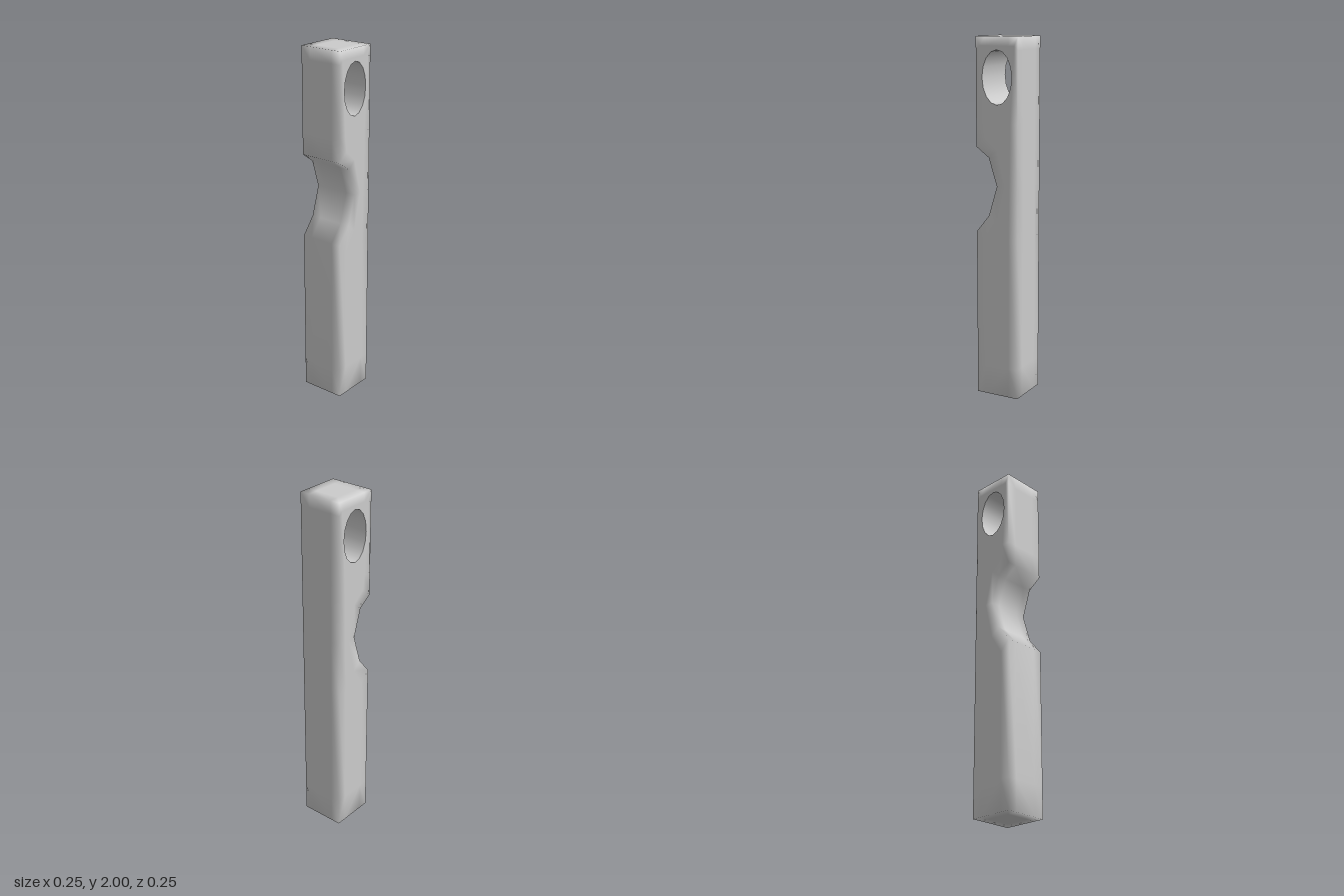
import * as THREE from 'three';
import { mergeVertices } from 'three/addons/utils/BufferGeometryUtils.js';

const W = 0.127; // half width of the square bar
const HOLE = { y: 1.785, ry: 0.145, rz: 0.09, sides: 16 };

// Side profile [u, y] with u = -z, each paired with its inset support point [iu, iy]
const PROFILE = [
  [-W, 0, -0.07, 0.17], [-0.07, 0, -0.07, 0.17], [0.07, 0, 0.07, 0.17], [W, 0, 0.07, 0.17],
  [W, 0.17, 0.07, 0.17], [W, 0.9, 0.07, 0.9], [W, 1.2, 0.075, 1.2], [W, 1.54, 0.08, 1.54],
  [W, 1.93, 0.105, 1.95], [W, 2, 0.105, 1.95], [0.07, 2, 0.07, 1.95],
  [-0.07, 2, -0.07, 1.95], [-W, 2, -0.105, 1.95], [-W, 1.93, -0.105, 1.95],
  [-W, 1.54, -0.08, 1.54], [-W, 1.41, -0.07, 1.46], // shoulder above the notch
  [-0.05, 1.355, 0, 1.4], [0, 1.2, 0.05, 1.2], [-0.05, 1.035, 0, 0.99],
  [-W, 0.94, -0.07, 0.88], [-W, 0.17, -0.07, 0.17],
];

// Bar: side walls, edge bands and pierced side panels welded for soft shading
function barGeometry() {
  const pos = [];
  const tri = (a, b, c) => pos.push(...a, ...b, ...c);
  const quad = (a, b, c, d) => { tri(a, b, c); tri(a, c, d); };
  const at = (x, u, y) => [x, y, -u];
  const n = PROFILE.length;
  const rows = [-W, -0.07, 0.07, W];

  for (let i = 0; i < n; i++) {
    const [u, y, iu, iy] = PROFILE[i];
    const [v, z, iv, iz] = PROFILE[(i + 1) % n];
    for (let r = 0; r < 3; r++) {
      quad(at(rows[r], u, y), at(rows[r], v, z), at(rows[r + 1], v, z), at(rows[r + 1], u, y));
    }
    quad(at(W, u, y), at(W, v, z), at(W, iv, iz), at(W, iu, iy));
    quad(at(-W, iu, iy), at(-W, iv, iz), at(-W, v, z), at(-W, u, y));
  }

  // Panel inside the support loop, with the oval opening
  const panel = [];
  for (const [, , u, y] of PROFILE) {
    const last = panel[panel.length - 1];
    if (!last || last.x !== u || last.y !== y) panel.push(new THREE.Vector2(u, y));
  }
  if (panel[0].equals(panel[panel.length - 1])) panel.pop();
  const oval = [];
  for (let i = 0; i < HOLE.sides; i++) {
    const t = -(i / HOLE.sides) * Math.PI * 2;
    oval.push(new THREE.Vector2(-HOLE.rz * Math.cos(t), HOLE.y + HOLE.ry * Math.sin(t)));
  }
  const pts = [...panel, ...oval];
  for (const f of THREE.ShapeUtils.triangulateShape(panel, [oval])) {
    let [a, b, c] = f.map((k) => pts[k]);
    if ((b.x - a.x) * (c.y - a.y) - (b.y - a.y) * (c.x - a.x) < 0) [b, c] = [c, b];
    tri(at(W, a.x, a.y), at(W, b.x, b.y), at(W, c.x, c.y));
    tri(at(-W, a.x, a.y), at(-W, c.x, c.y), at(-W, b.x, b.y));
  }

  const raw = new THREE.BufferGeometry();
  raw.setAttribute('position', new THREE.Float32BufferAttribute(pos, 3));
  const geometry = mergeVertices(raw, 1e-4);
  geometry.computeVertexNormals();
  return geometry;
}

export function createModel() {
  const group = new THREE.Group();
  group.name = 'notchedBar';

  const bar = new THREE.Mesh(barGeometry(), new THREE.MeshStandardMaterial({ color: 0xcccccc }));
  bar.name = 'bar';
  group.add(bar);

  // Inner wall of the oval through-hole
  const lining = new THREE.CylinderGeometry(1, 1, 2 * W, HOLE.sides, 1, true);
  lining.rotateZ(Math.PI / 2).scale(1, HOLE.ry, HOLE.rz).translate(0, HOLE.y, 0);
  const hole = new THREE.Mesh(lining,
    new THREE.MeshStandardMaterial({ color: 0xcccccc, side: THREE.DoubleSide }));
  hole.name = 'holeWall';
  group.add(hole);

  return group;
}
